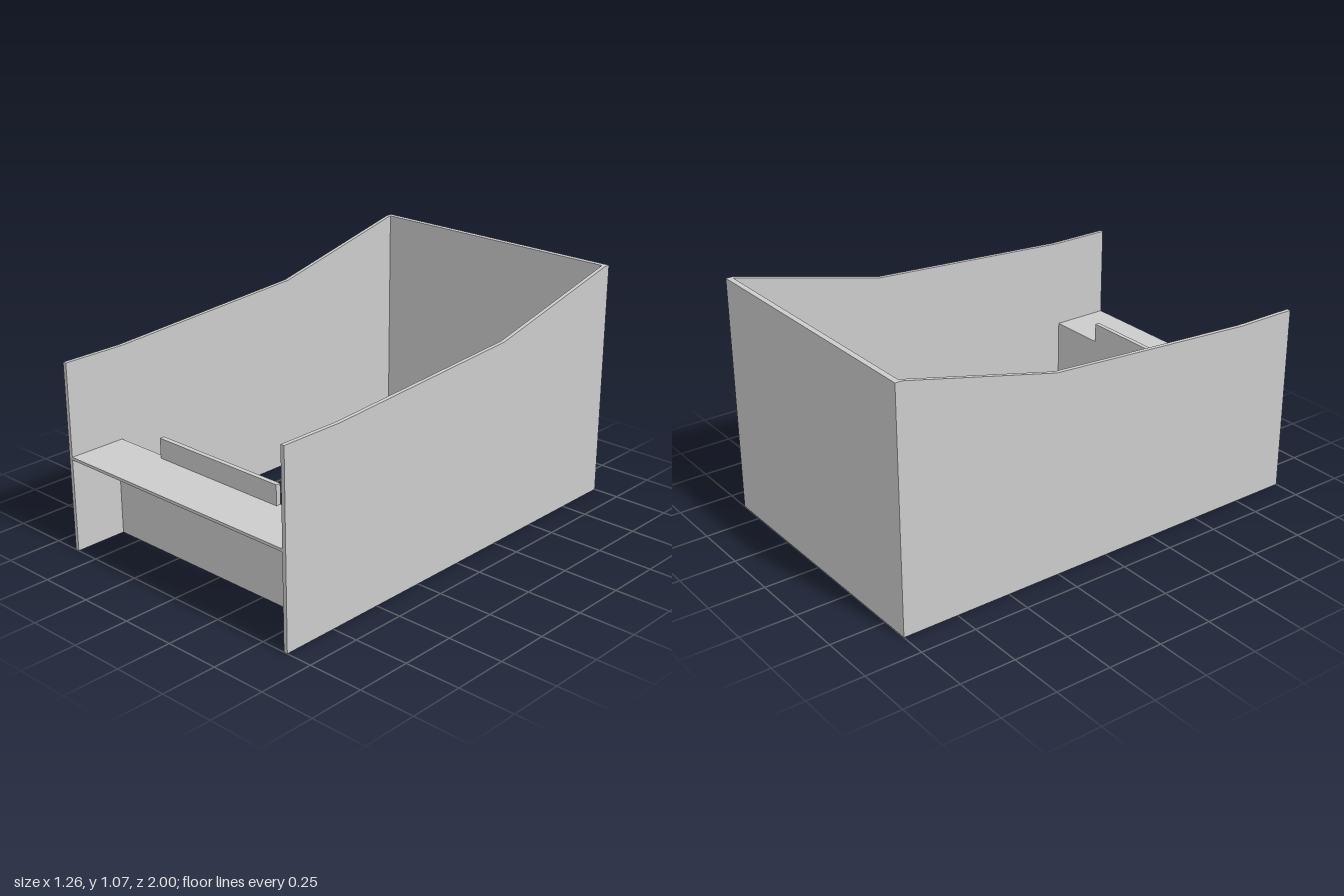
import * as THREE from 'three';

const material = new THREE.MeshStandardMaterial({ color: 0xcccccc, flatShading: true });
const HALF = 0.63, THICK = 0.018, INNER = HALF - THICK;

// Extrudes an outline of [x, y] points by a depth along +z
function panel(name, points, depth) {
  const shape = new THREE.Shape(points.map(([x, y]) => new THREE.Vector2(x, y)));
  const geometry = new THREE.ExtrudeGeometry(shape, { depth, bevelEnabled: false });
  const mesh = new THREE.Mesh(geometry, material);
  mesh.name = name;
  return mesh;
}

export function createModel() {
  const group = new THREE.Group();
  group.name = 'cabinet';

  // Side walls: the outline runs from the front (-1) to the back (+1), then turns into the z axis
  const profile = [[-1, 0], [1, 0], [1, 1.07], [0.97, 1.07], [0.27, 0.905], [-0.71, 0.845], [-1, 0.845]];
  for (const [name, x] of [['leftSide', INNER], ['rightSide', -HALF]]) {
    const side = panel(name, profile, THICK);
    side.geometry.rotateY(Math.PI / 2);
    side.position.x = x;
    group.add(side);
  }

  // Back wall between the sides
  const back = new THREE.Mesh(new THREE.BoxGeometry(2 * INNER, 1.07, 0.025), material);
  back.name = 'backWall';
  back.position.set(0, 0.535, -0.9875);
  group.add(back);

  // Recessed front board with a raised centre tab
  const board = panel('frontBoard', [
    [-INNER, 0], [INNER, 0], [INNER, 0.418], [0.338, 0.418],
    [0.338, 0.52], [-0.338, 0.52], [-0.338, 0.418], [-INNER, 0.418],
  ], 0.022);
  board.position.z = 0.735;
  group.add(board);

  // Shelf over the front board
  const shelf = new THREE.Mesh(new THREE.BoxGeometry(2 * INNER, 0.013, 0.265), material);
  shelf.name = 'frontShelf';
  shelf.position.set(0, 0.4245, 0.8675);
  group.add(shelf);

  return group;
}
